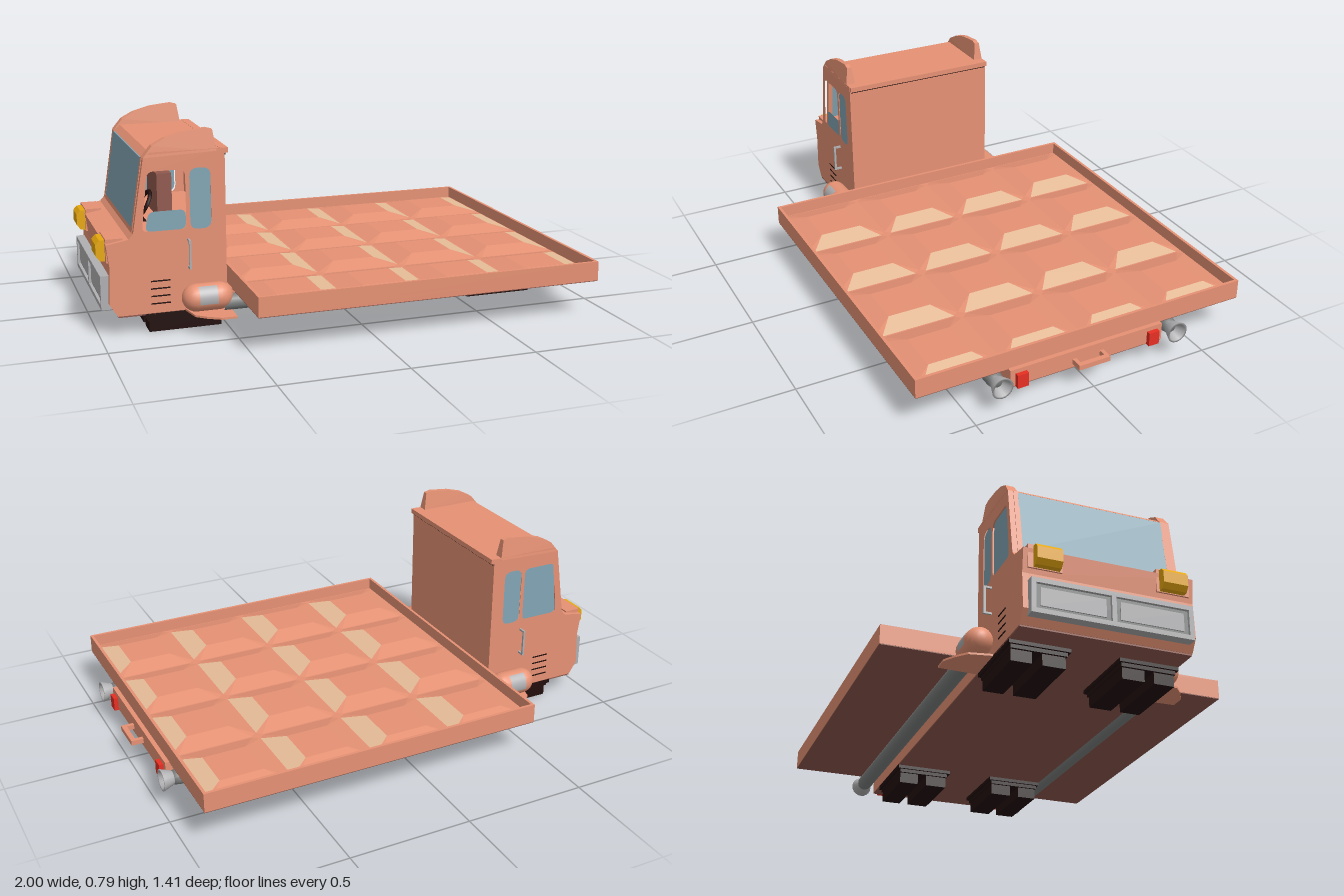
import * as THREE from 'three';

const mat = (name, color, side = THREE.FrontSide) => {
  const m = new THREE.MeshStandardMaterial({ color, side });
  m.name = name;
  return m;
};

export function createModel() {
  const paint = mat('coral paint', 0xe69274);
  const sand = mat('sand panel', 0xe6bc98);
  const glass = mat('blue glass', 0x82a5b4, THREE.DoubleSide);
  const steel = mat('light steel', 0xb0b0b2);
  const pipeGrey = mat('pipe grey', 0x7e8080);
  const amber = mat('amber lamp', 0xf2b010);
  const red = mat('red lamp', 0xec3024);
  const dark = mat('dark rubber', 0x220e0c);
  const brown = mat('underbody brown', 0x90594e);

  const model = new THREE.Group();
  model.name = 'flatbedTruck';
  const add = (name, geo, material, x = 0, y = 0, z = 0) => {
    const m = new THREE.Mesh(geo, material);
    m.name = name;
    m.position.set(x, y, z);
    model.add(m);
    return m;
  };
  // box given by its limits on each axis
  const block = (name, material, [x0, x1], [y0, y1], [z0, z1]) =>
    add(name, new THREE.BoxGeometry(x1 - x0, y1 - y0, Math.abs(z1 - z0)), material,
      (x0 + x1) / 2, (y0 + y1) / 2, (z0 + z1) / 2);
  const vectors = (pts) => pts.map(([x, y]) => new THREE.Vector2(x, y));
  const shape = (pts) => new THREE.Shape(vectors(pts));
  // polygon with softened corners
  const rounded = (pts, r) => {
    const s = new THREE.Shape();
    const v = vectors(pts);
    v.forEach((p, i) => {
      const toward = (q) => q.clone().sub(p).setLength(r).add(p);
      const a = toward(v[(i + v.length - 1) % v.length]);
      const b = toward(v[(i + 1) % v.length]);
      if (i) s.lineTo(a.x, a.y); else s.moveTo(a.x, a.y);
      s.quadraticCurveTo(p.x, p.y, b.x, b.y);
    });
    s.closePath();
    return s;
  };
  // extrusion centred on z = 0
  const extrude = (s, depth) =>
    new THREE.ExtrudeGeometry(s, { depth, bevelEnabled: false, curveSegments: 4 }).translate(0, 0, -depth / 2);
  // turned part along x, from [radius, x] points
  const turned = (pts) => new THREE.LatheGeometry(vectors(pts), 20).rotateZ(-Math.PI / 2);

  // cab: side panels with window openings
  const nose = [[-0.93, 0.08], [-0.962, 0.13], [-0.955, 0.27], [-0.967, 0.365], [-0.88, 0.38], [-0.862, 0.4]];
  const doorWindow = [[-0.828, 0.403], [-0.802, 0.637], [-0.656, 0.637], [-0.656, 0.403]];
  const rearWindow = [[-0.64, 0.4], [-0.64, 0.64], [-0.557, 0.64], [-0.557, 0.4]];
  const loweredGlass = [[-0.815, 0.403], [-0.8, 0.48], [-0.656, 0.48], [-0.656, 0.403]];
  for (const s of [1, -1]) {
    const panel = shape([...nose, [-0.815, 0.69], [-0.79, 0.71], [-0.5, 0.71], [-0.5, 0.08]]);
    panel.holes.push(rounded(doorWindow, 0.025), rounded(rearWindow, 0.032));
    add('cabSide', extrude(panel, 0.024), paint, 0, 0, 0.321 * s);
    add('doorGlass', new THREE.ShapeGeometry(rounded(s > 0 ? loweredGlass : doorWindow, 0.025)), glass, 0, 0, 0.327 * s);
    add('rearSideGlass', new THREE.ShapeGeometry(rounded(rearWindow, 0.032)), glass, 0, 0, 0.33 * s);

    // roof fin, thinner toward the top
    const fin = extrude(shape([[-0.815, 0.69], [-0.78, 0.733], [-0.73, 0.76], [-0.66, 0.78],
      [-0.57, 0.79], [-0.545, 0.783], [-0.532, 0.7]]), 0.042);
    const p = fin.attributes.position;
    for (let i = 0; i < p.count; i++)
      p.setZ(i, p.getZ(i) * (1 - 0.55 * Math.max(0, (p.getY(i) - 0.7) / 0.09)));
    fin.computeVertexNormals();
    add('roofFin', fin, paint, 0, 0, 0.313 * s);

    // door handle and vents
    block('handleBar', steel, [-0.654, -0.646], [0.25, 0.365], [0.357 * s, 0.366 * s]);
    for (const y of [0.25, 0.357])
      block('handleMount', steel, [-0.654, -0.646], [y, y + 0.008], [0.33 * s, 0.36 * s]);
    for (let i = 0; i < 4; i++)
      block('vent', dark, [-0.8, -0.725], [0.115 + i * 0.03, 0.12 + i * 0.03], [0.33 * s, 0.335 * s]);

    // headlight
    add('headlight', extrude(shape([[-0.94, 0.29], [-0.985, 0.295], [-1, 0.315], [-1, 0.36],
      [-0.985, 0.376], [-0.94, 0.378]]), 0.098), amber, 0, 0, 0.245 * s);
    block('headlightHousing', paint, [-0.965, -0.9], [0.29, 0.383], [0.185 * s, 0.315 * s]);

    // side tank, the plate on its outer face, and the step below
    add('sideTank', new THREE.CapsuleGeometry(0.054, 0.092, 6, 20).rotateZ(Math.PI / 2), paint, -0.59, 0.14, 0.377 * s);
    const plate = new THREE.CylinderGeometry(0.0555, 0.0555, 0.072, 10, 1, true, s > 0 ? -0.3 : Math.PI - 1.1, 1.4);
    add('tankPlate', plate.rotateZ(Math.PI / 2), steel, -0.595, 0.14, 0.377 * s);
    const step = shape([[-0.67, 0.32], [-0.65, 0.42], [-0.61, 0.455], [-0.56, 0.485], [-0.5, 0.485],
      [-0.495, 0.32]].map(([x, z]) => [x, z * s]));
    add('stepPlate', extrude(step, 0.008).rotateX(Math.PI / 2), paint, 0, 0.08, 0);

    // exhaust with flared open end
    add('exhaustPipe', turned([[0.032, -0.53], [0.032, 0.92], [0.026, 0.945], [0, 0.945]]), pipeGrey, 0, 0.112, 0.383 * s);
    add('exhaustFlare', turned([[0.027, 0.94], [0.044, 0.985], [0.035, 0.985], [0.02, 0.946]]), steel, 0, 0.112, 0.383 * s);
    block('tailLight', red, [0.94, 0.968], [0.075, 0.132], [0.265 * s, 0.311 * s]);

    // stepped running pads with two treads each
    for (const x of [-0.665, 0.687]) {
      block('padTop', dark, [x - 0.16, x + 0.16], [0.06, 0.078], [0.095 * s, 0.332 * s]);
      block('padMiddle', dark, [x - 0.152, x + 0.152], [0.045, 0.06], [0.105 * s, 0.322 * s]);
      block('innerTread', dark, [x - 0.143, x + 0.143], [0, 0.045], [0.11 * s, 0.2 * s]);
      block('outerTread', dark, [x - 0.143, x + 0.143], [0, 0.045], [0.238 * s, 0.319 * s]);
    }
    block('hitchArm', paint, [0.94, 0.995], [0.095, 0.115], [0.052 * s, 0.068 * s]);
  }

  // cab: lower body, back, roof and windscreen
  add('cabLowerBody', extrude(shape([...nose, [-0.5, 0.4], [-0.5, 0.08]]), 0.62), paint);
  block('cabBack', paint, [-0.52, -0.5], [0.08, 0.7], [-0.32, 0.32]);
  add('cabRoof', extrude(shape([[-0.815, 0.688], [-0.79, 0.71], [-0.5, 0.71], [-0.5, 0.688]]), 0.62), paint);
  block('roofLip', paint, [-0.52, -0.487], [0.69, 0.711], [-0.332, 0.332]);
  block('roofSeam', dark, [-0.505, -0.495], [0.683, 0.69], [-0.328, 0.328]);
  add('windscreen', extrude(shape([[-0.861, 0.415], [-0.819, 0.685], [-0.811, 0.685], [-0.853, 0.415]]), 0.59), glass);
  for (const s of [1, -1])
    add('windscreenPost', extrude(shape([[-0.864, 0.4], [-0.818, 0.69], [-0.8, 0.69], [-0.846, 0.4]]), 0.02), paint, 0, 0, 0.302 * s);
  add('windscreenSill', extrude(shape([[-0.864, 0.398], [-0.86, 0.42], [-0.845, 0.42], [-0.84, 0.398]]), 0.62), paint);

  // cab interior
  block('seatBack', brown, [-0.72, -0.66], [0.4, 0.575], [-0.1, 0.1]);
  const wheel = add('steeringWheel', new THREE.TorusGeometry(0.055, 0.008, 6, 20).rotateY(Math.PI / 2), dark, -0.785, 0.47, 0.15);
  wheel.rotation.z = -0.5;
  const column = add('steeringColumn', new THREE.CylinderGeometry(0.009, 0.009, 0.09, 8), dark, -0.805, 0.43, 0.15);
  column.rotation.z = 0.6;

  // front grille: steel frame around two inset panels
  block('grilleBacking', pipeGrey, [-0.978, -0.94], [0.11, 0.238], [-0.31, 0.31]);
  for (const y of [0.105, 0.222])
    block('grilleRail', steel, [-0.99, -0.95], [y, y + 0.018], [-0.313, 0.313]);
  for (const z of [-0.304, 0, 0.304])
    block('grillePost', steel, [-0.99, -0.95], [0.107, 0.238], [z - 0.009, z + 0.009]);
  for (const z of [-0.152, 0.152])
    block('grilleInset', steel, [-0.983, -0.975], [0.137, 0.208], [z - 0.125, z + 0.125]);

  // chassis, hitch bar and dark underbody
  block('chassis', paint, [-0.51, 0.95], [0.078, 0.15], [-0.333, 0.333]);
  block('hitchBar', paint, [0.98, 1], [0.095, 0.115], [-0.068, 0.068]);
  block('chassisUnderside', brown, [-0.928, 0.948], [0.074, 0.08], [-0.332, 0.332]);

  // bed floor and rim
  const bx = [-0.48, 0.932], bz = [-0.705, 0.705], rim = 0.012, by = [0.147, 0.225];
  block('bedFloor', paint, bx, [0.147, 0.175], bz);
  block('bedUnderside', brown, [bx[0] + 0.001, bx[1] - 0.001], [0.144, 0.148], [bz[0] + 0.001, bz[1] - 0.001]);
  block('bedRimFront', paint, [bx[0], bx[0] + rim], by, bz);
  block('bedRimRear', paint, [bx[1] - rim, bx[1]], by, bz);
  for (const s of [1, -1])
    block('bedRimSide', paint, bx, by, [(bz[1] - rim) * s, bz[1] * s]);

  // raised bed panel: sloped sides with cut corners, the rear slope in its own colour
  const raisedPanel = (w, d, inset, cut, h) => {
    const corners = (x, z) => [[-x, -z], [x, -z], [x, z], [-x, z]];
    const t = corners(w / 2 - inset, d / 2 - inset).map(([x, z]) => [x, h, z]);
    const alongX = corners(w / 2 - cut, d / 2).map(([x, z]) => [x, 0, z]);
    const alongZ = corners(w / 2, d / 2 - cut).map(([x, z]) => [x, 0, z]);
    const pos = [];
    const quad = (p, q, r, s) => pos.push(...p, ...q, ...r, ...p, ...r, ...s);
    quad(t[0], t[3], t[2], t[1]);
    for (let i = 0; i < 4; i++) {
      const [a, b] = i % 2 ? [alongX, alongZ] : [alongZ, alongX];
      pos.push(...a[i], ...t[i], ...b[i]);
    }
    for (const i of [0, 2, 3, 1]) {
      const j = (i + 1) % 4, b = i % 2 ? alongZ : alongX;
      quad(b[i], t[i], t[j], b[j]);
    }
    const g = new THREE.BufferGeometry();
    g.setAttribute('position', new THREE.Float32BufferAttribute(pos, 3));
    g.computeVertexNormals();
    g.addGroup(0, 36, 0);
    g.addGroup(36, 6, 1);
    return g;
  };
  const cw = (bx[1] - bx[0] - 2 * rim) / 4, cd = (bz[1] - bz[0] - 2 * rim) / 4;
  const panelGeo = raisedPanel(cw - 0.006, cd - 0.006, 0.083, 0.02, 0.022);
  for (let i = 0; i < 4; i++)
    for (let j = 0; j < 4; j++)
      add('bedPanel', panelGeo, [paint, sand], bx[0] + rim + cw * (i + 0.5), 0.1752, bz[0] + rim + cd * (j + 0.5));

  return model;
}
